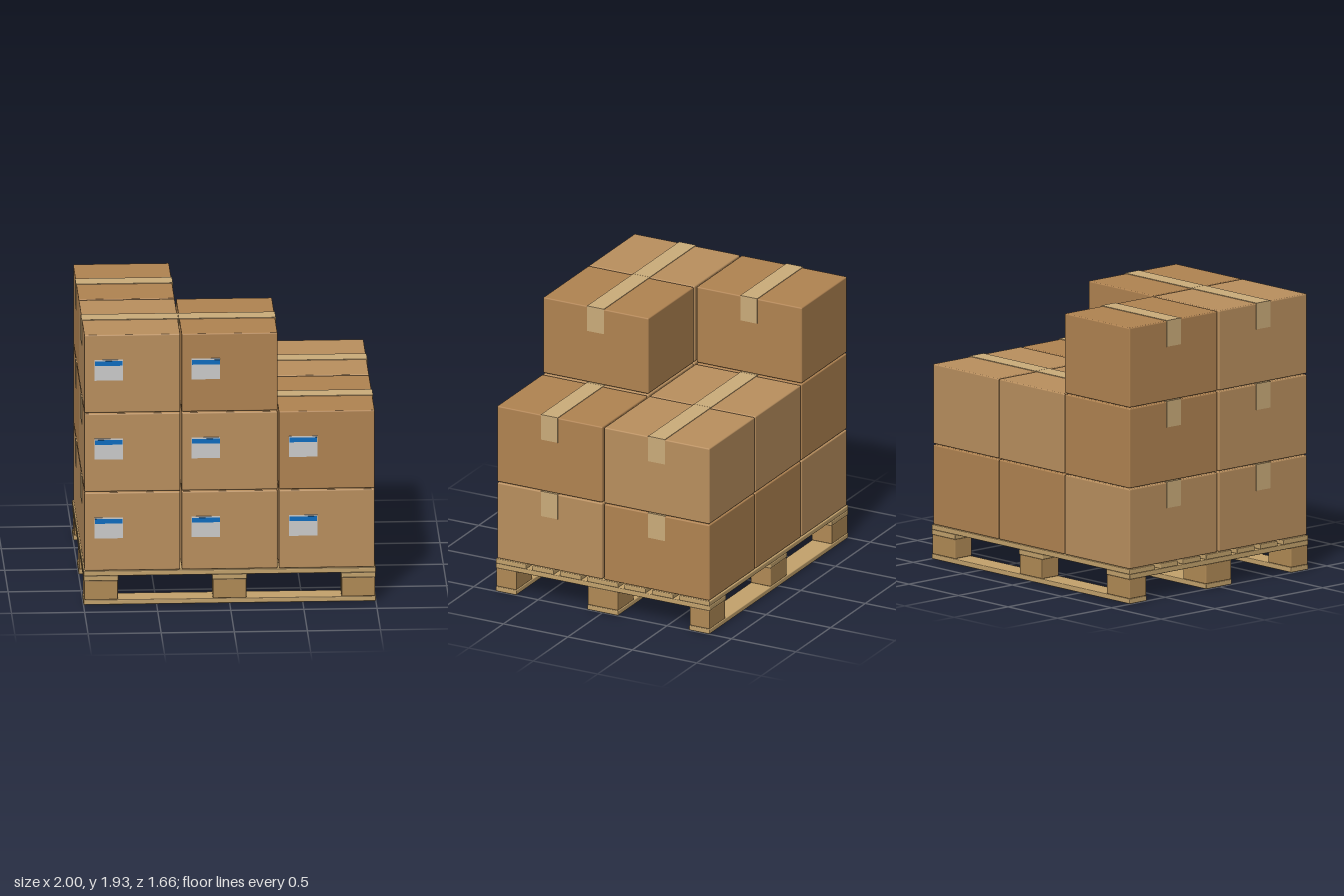
import * as THREE from 'three';
import { RoundedBoxGeometry } from 'three/addons/geometries/RoundedBoxGeometry.js';

const mat = (color) => new THREE.MeshStandardMaterial({ color });

const cardboard = [mat(0xb98f5e), mat(0xb08351)];
const tapeMat = mat(0xcbac7a);
const boardMat = mat(0xc3a26c);
const blockMat = mat(0xb08a55);
const labelMat = mat(0xcccccc);
const stripeMat = mat(0x0b6cc0);

// Box with softened edges; r = 0 gives a plain box
function block(parent, name, material, [w, h, d], [x, y, z], r = 0) {
  const geometry = r ? new RoundedBoxGeometry(w, h, d, 2, r) : new THREE.BoxGeometry(w, h, d);
  const mesh = new THREE.Mesh(geometry, material);
  mesh.name = name;
  mesh.position.set(x, y, z);
  parent.add(mesh);
  return mesh;
}

function createPallet() {
  const pallet = new THREE.Group();
  pallet.name = 'pallet';
  const T = 0.035;
  const rows = [[-0.75, 0.16], [0, 0.24], [0.75, 0.16]];
  const columns = [-0.88, 0, 0.88];

  // Skids on the ground, with three blocks on each
  for (const [z, depth] of rows) {
    block(pallet, 'bottomSkid', boardMat, [2, T, depth], [0, T / 2, z], 0.006);
    for (const x of columns) {
      block(pallet, 'spacerBlock', blockMat, [0.23, 0.135, depth - 0.005], [x, 0.1025, z], 0.006);
    }
  }
  // Cross boards running front to back
  for (const x of columns) {
    block(pallet, 'crossBoard', boardMat, [0.238, T, 1.66], [x, 0.1875, 0], 0.006);
  }
  // Deck boards running side to side
  const deck = [[0, 0.24], [0.25, 0.165], [0.463, 0.165], [0.712, 0.236]];
  for (const [z, depth] of deck) {
    for (const side of z ? [-1, 1] : [1]) {
      block(pallet, 'deckBoard', boardMat, [2, T, depth], [0, 0.2225, side * z], 0.006);
    }
  }
  return pallet;
}

const W = 0.655, H = 0.557, D = 0.818;

// Origin at the middle of the carton's base
function createCarton(material, labelled) {
  const carton = new THREE.Group();
  carton.name = 'carton';
  block(carton, 'cartonBody', material, [W, H, D], [0, H / 2, 0], 0.009);

  // Tape over the top, folded down both ends
  const t = 0.004, tapeWidth = 0.13, drop = 0.18;
  block(carton, 'topTape', tapeMat, [W + 2 * t, t, tapeWidth], [0, H + t / 2, 0]);
  for (const side of [-1, 1]) {
    block(carton, 'endTape', tapeMat, [t, drop, tapeWidth], [side * (W + t) / 2, H - drop / 2, 0]);
  }

  // Shipping label with a coloured stripe
  if (labelled) {
    const x = -W / 2 + 0.165;
    block(carton, 'label', labelMat, [0.194, 0.148, 0.005], [x, 0.306, D / 2 + 0.0025]);
    block(carton, 'labelStripe', stripeMat, [0.19, 0.033, 0.003], [x, 0.354, D / 2 + 0.0055]);
  }
  return carton;
}

export function createModel() {
  const model = new THREE.Group();
  model.name = 'loadedPallet';
  model.add(createPallet());

  // Layers from the bottom; per layer the front row, then the back row.
  // 0 and 1 choose the cardboard shade, null leaves a place empty.
  const layers = [
    [[0, 0, 0], [0, 1, 1]],
    [[0, 0, 1], [1, 0, 0]],
    [[0, 1, null], [1, null, null]],
  ];
  layers.forEach((rows, layer) => rows.forEach((row, r) => row.forEach((shade, column) => {
    if (shade === null) return;
    const carton = createCarton(cardboard[shade], r === 0);
    carton.position.set((column - 1) * 0.665, 0.242 + layer * 0.564, r === 0 ? 0.416 : -0.416);
    model.add(carton);
  })));
  return model;
}
